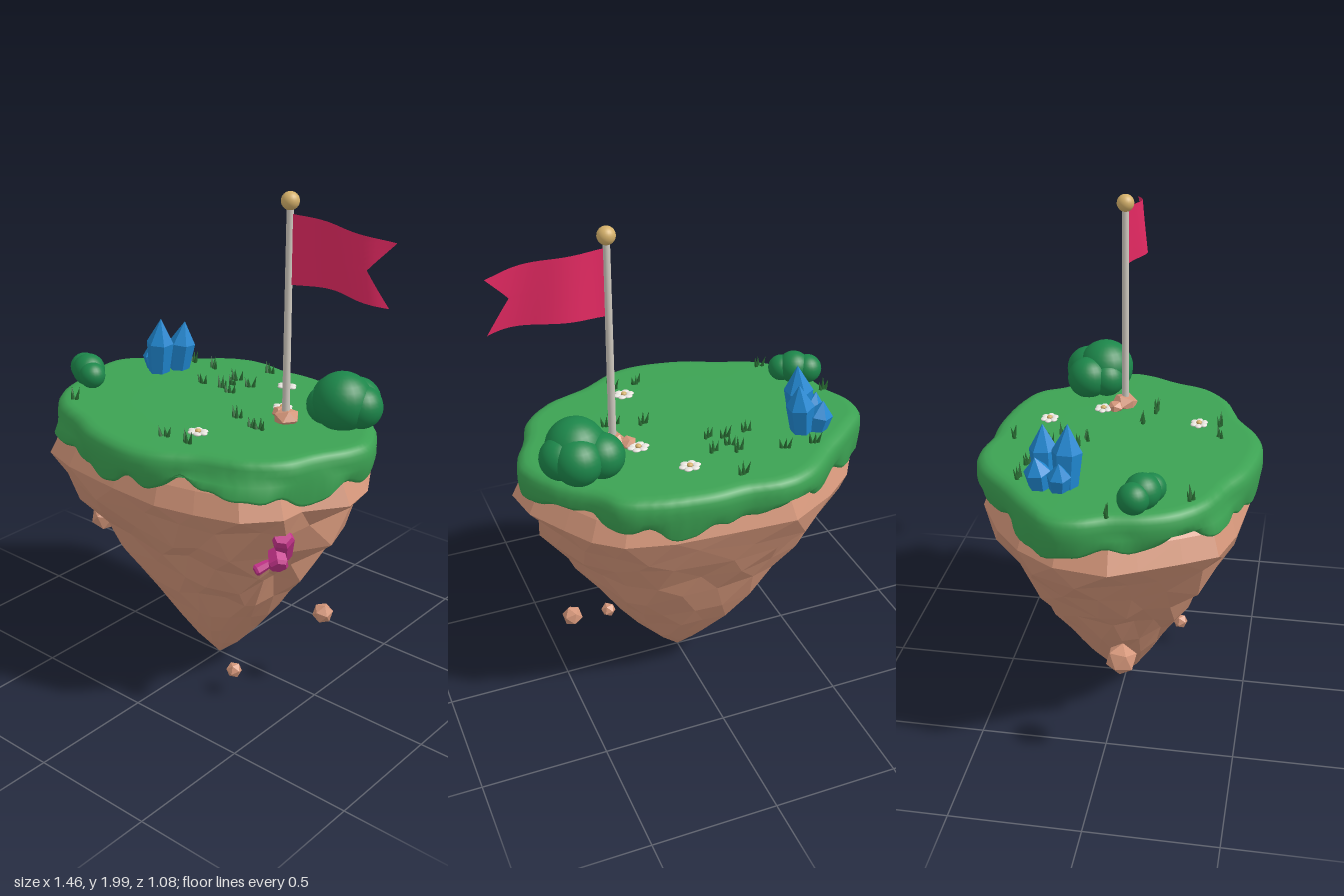
import * as THREE from 'three';

const mat = (name, color, extra = {}) => Object.assign(new THREE.MeshStandardMaterial({ color, ...extra }), { name });
const M = {
  grass: mat('grass green', 0x3ca253),
  rock: mat('clay rock', 0xd4967a),
  bush: mat('bush green', 0x1c864a),
  blade: mat('dark grass', 0x25662f),
  blue: mat('blue crystal', 0x2088d2),
  pink: mat('pink crystal', 0xc4338a),
  flag: mat('flag crimson', 0xe82a64, { side: THREE.DoubleSide }),
  pole: mat('pole grey', 0xd0cac0),
  gold: mat('gold', 0xd4b06a),
  white: mat('petal white', 0xeeeae4),
};
const TOP = 1.125;
const UP = new THREE.Vector3(0, 1, 0);

let seed = 11;
const rnd = () => ((seed = (seed * 16807) % 2147483647) / 2147483647) * 2 - 1;

function add(parent, name, geo, material, pos = [0, 0, 0], scale = [1, 1, 1]) {
  const m = new THREE.Mesh(geo, material);
  m.name = name;
  m.position.set(...pos);
  m.scale.set(...scale);
  parent.add(m);
  return m;
}

function faceted(geo) {
  const g = geo.index ? geo.toNonIndexed() : geo;
  g.computeVertexNormals();
  return g;
}

// Skin over closed rings listed from top to bottom, diagonals alternating per row
function skin(rings) {
  const n = rings[0].length, idx = [];
  for (let i = 0; i < rings.length - 1; i++)
    for (let j = 0; j < n; j++) {
      const a = i * n + j, b = i * n + ((j + 1) % n), c = a + n, d = b + n;
      idx.push(...(i % 2 ? [a, b, d, a, d, c] : [a, b, c, b, d, c]));
    }
  const g = new THREE.BufferGeometry();
  g.setAttribute('position', new THREE.Float32BufferAttribute(rings.flat(2), 3));
  g.setIndex(idx);
  g.computeVertexNormals();
  return g;
}

// Radius of a closed outline as a function of the angle
function polar(pts) {
  const curve = new THREE.CatmullRomCurve3(pts.map(([x, z]) => new THREE.Vector3(x, 0, z)), true);
  const s = curve.getPoints(500).map(p => [Math.atan2(p.z, p.x), Math.hypot(p.x, p.z)]);
  return a => {
    const d = t => Math.abs(Math.atan2(Math.sin(t[0] - a), Math.cos(t[0] - a)));
    return s.reduce((best, t) => (d(t) < d(best) ? t : best))[1];
  };
}

const grassLine = [
  [0.65, 0], [0.585, 0.14], [0.54, 0.26], [0.42, 0.365], [0.26, 0.425], [0.1, 0.515], [-0.02, 0.535],
  [-0.23, 0.5], [-0.36, 0.44], [-0.51, 0.38], [-0.61, 0.285], [-0.66, 0.18], [-0.685, 0.05], [-0.73, -0.07],
  [-0.72, -0.17], [-0.61, -0.28], [-0.485, -0.385], [-0.35, -0.5], [-0.23, -0.54], [-0.07, -0.525],
  [0.06, -0.53], [0.28, -0.495], [0.395, -0.445], [0.46, -0.35], [0.58, -0.235], [0.66, -0.08],
];
const rockLine = [
  [0.665, 0.05], [0.56, 0.2], [0.555, 0.3], [0.45, 0.42], [0.28, 0.475], [0.12, 0.51], [-0.1, 0.5],
  [-0.37, 0.47], [-0.53, 0.42], [-0.6, 0.3], [-0.68, 0.15], [-0.73, 0.05], [-0.7, -0.15], [-0.6, -0.3],
  [-0.475, -0.405], [-0.28, -0.51], [-0.05, -0.5], [0.2, -0.485], [0.38, -0.44], [0.48, -0.36], [0.55, -0.25], [0.64, -0.1],
];
const grassR = polar(grassLine), rockR = polar(rockLine);

// Faceted rock cone hanging below the turf, its belly leaning slightly back
function makeRock(g) {
  const levels = [[1.06, 0.86], [1.0, 0.94], [0.92, 1], [0.83, 0.92], [0.73, 0.83], [0.63, 0.73],
    [0.53, 0.63], [0.42, 0.525], [0.31, 0.41], [0.2, 0.28], [0.1, 0.145], [0.01, 0]];
  const rings = levels.map(([y, s], i) => {
    const free = i > 2 && i < 11 ? 1 : 0;
    const soft = Math.max(0, 0.92 - y) * 0.7;
    const back = y < 0.9 ? 0.015 * Math.sin((Math.PI * (y - 0.01)) / 0.89) : 0;
    return rockLine.map(([x, z], j) => {
      const [nx, nz] = rockLine[(j + (i % 2) * free) % rockLine.length];
      const a = Math.atan2(z + nz, x + nx) + rnd() * 0.06 * free;
      const oval = 1 / Math.hypot(Math.cos(a) / 0.7, Math.sin(a) / 0.53);
      const r = s * (rockR(a) * (1 - soft) + oval * soft) * (1 + (0.008 + rnd() * 0.028) * free);
      return [r * Math.cos(a), y + rnd() * 0.03 * free * Math.min(1, y * 2), r * Math.sin(a) - back];
    });
  });
  add(g, 'rockBody', faceted(skin(rings)), M.rock);
}

// Smooth turf slab with a rounded rim and a dripping lower edge
function makeTurf(g) {
  const n = 180;
  const cols = Array.from({ length: n }, (_, j) => {
    const a = (j / n) * Math.PI * 2, r = grassR(a), b = a - 0.31;
    const low = 0.988 - 0.028 * Math.cos(4 * b) - 0.016 * Math.cos(12 * b) + 0.01 * Math.sin(17 * a) + 0.005 * Math.sin(29 * a);
    const under = rockR(a) * Math.min(0.99, 0.94 + (1 - low) * 0.75) + 0.01;
    const edge = Math.max(r - 0.012, under);
    const prof = [[0, TOP], [r * 0.5, TOP], [r - 0.06, TOP], [r - 0.035, TOP - 0.002], [r - 0.015, TOP - 0.012],
      [r - 0.003, TOP - 0.03], [r, TOP - 0.055], [(Math.max(r, edge) + r) / 2, 1.04],
      [edge + 0.004, low + 0.015], [edge - 0.008, low], [edge - 0.03, low + 0.008], [edge - 0.12, 1.03]];
    return prof.map(([q, y]) => [q * Math.cos(a), y, q * Math.sin(a)]);
  });
  add(g, 'turf', skin(cols[0].map((_, i) => cols.map(c => c[i]))), M.grass);
}

function makeBush(g, name, blobs) {
  const b = new THREE.Group();
  b.name = name;
  for (const [x, y, z, r] of blobs) add(b, 'leafBall', new THREE.SphereGeometry(r, 24, 16), M.bush, [x, y, z]);
  g.add(b);
}

// Flagpole with finial, swallowtail flag and stones at the foot
function makeFlag(g) {
  const x = 0.285, z = -0.052;
  add(g, 'pole', new THREE.CylinderGeometry(0.013, 0.015, 0.84, 16), M.pole, [x, 1.53, z]);
  add(g, 'finial', new THREE.SphereGeometry(0.034, 24, 16), M.gold, [x, 1.966, z]);
  const cloth = new THREE.PlaneGeometry(1, 1, 28, 12), p = cloth.attributes.position;
  for (let i = 0; i < p.count; i++) {
    const u = p.getX(i) + 0.5, v = p.getY(i) + 0.5;
    const notch = 0.09 * (1 - Math.abs(v - 0.5) * 2) * u;
    const t = u - notch / 0.43;
    const yTop = 1.92 - 0.012 * t - 0.028 * t * t, yLow = 1.66 + 0.012 * Math.sin(t * Math.PI) - 0.004 * t;
    const wave = -(0.024 + 0.014 * (1 - v)) * Math.sin(t * 7.2 - (1 - v) * 1.2 * t) * Math.sqrt(t);
    p.setXYZ(i, 0.298 + 0.43 * t, yLow + (yTop - yLow) * v, z + wave);
  }
  cloth.computeVertexNormals();
  add(g, 'flag', cloth, M.flag);
  for (const [sx, sz, r] of [[0.285, -0.055, 0.055], [0.235, -0.085, 0.036]])
    add(g, 'footStone', new THREE.IcosahedronGeometry(r), M.rock, [sx, TOP + 0.01, sz], [1, 0.75, 1]).rotation.y = sx * 20;
}

// Six-sided crystal from a base point along a direction; tip is the pointed share of its length
function crystal(g, name, material, base, dir, r, h, tip) {
  const prof = [[0, 0], [r * 0.75, 0], [r, h * (1 - tip)], [tip > 0.2 ? 0 : r * 0.75, h], [0, h]];
  const geo = faceted(new THREE.LatheGeometry(prof.map(q => new THREE.Vector2(...q)), 6));
  add(g, name, geo, material, base).quaternion.setFromUnitVectors(UP, new THREE.Vector3(...dir).normalize());
}

function makeFlower(g, x, z) {
  const f = new THREE.Group();
  f.name = 'flower';
  f.position.set(x, TOP + 0.012, z);
  add(f, 'stem', new THREE.CylinderGeometry(0.004, 0.004, 0.02, 6), M.blade, [0, -0.006, 0]);
  for (let i = 0; i < 6; i++) {
    const a = (i * Math.PI) / 3;
    add(f, 'petal', new THREE.SphereGeometry(0.016, 12, 8), M.white, [Math.cos(a) * 0.027, 0, Math.sin(a) * 0.023], [1.05, 0.4, 0.85]);
  }
  add(f, 'flowerCentre', new THREE.SphereGeometry(0.012, 12, 8), M.gold, [0, 0.004, 0], [1, 0.7, 1]);
  g.add(f);
}

// Three leaning blades
function makeTuft(g, x, z) {
  const t = new THREE.Group();
  t.name = 'grassTuft';
  t.position.set(x, TOP - 0.004, z);
  for (let i = -1; i <= 1; i++) {
    const h = 0.05 + rnd() * 0.01;
    const geo = new THREE.ConeGeometry(0.009, h, 5).translate(0, h / 2, 0);
    add(t, 'blade', geo, M.blade, [i * 0.012, 0, rnd() * 0.008]).rotation.set(rnd() * 0.25, 0, -i * 0.22);
  }
  g.add(t);
}

export function createModel() {
  const g = new THREE.Group();
  g.name = 'floatingIsland';
  makeRock(g);
  makeTurf(g);
  makeFlag(g);

  makeBush(g, 'largeBush', [[0.465, 1.215, -0.165, 0.115], [0.48, 1.2, -0.24, 0.092], [0.385, 1.195, -0.225, 0.086],
    [0.53, 1.2, -0.195, 0.083], [0.4, 1.19, -0.15, 0.075]]);
  makeBush(g, 'smallBush', [[-0.575, 1.185, 0.15, 0.066], [-0.625, 1.18, 0.125, 0.058], [-0.53, 1.178, 0.175, 0.053]]);

  // Blue crystal cluster on the turf
  for (const [x, z, dx, dz, r, h] of [[-0.46, -0.145, 0.08, 0.02, 0.057, 0.25], [-0.425, -0.23, 0.12, -0.05, 0.055, 0.225],
    [-0.485, -0.235, -0.12, -0.1, 0.05, 0.14], [-0.495, -0.165, -0.18, 0.05, 0.045, 0.13]])
    crystal(g, 'blueCrystal', M.blue, [x, TOP - 0.015, z], [dx, 1, dz], r, h, 0.42);

  // Pink crystals growing from the cliff
  crystal(g, 'pinkCrystal', M.pink, [0.465, 0.705, 0.18], [0.35, 0.78, 0.5], 0.044, 0.165, 0.12);
  crystal(g, 'pinkCrystal', M.pink, [0.455, 0.77, 0.22], [0.5, -0.4, 0.45], 0.04, 0.11, 0.12);
  crystal(g, 'pinkCrystal', M.pink, [0.46, 0.7, 0.24], [-0.3, -0.25, 0.6], 0.022, 0.075, 0.12);

  // Loose stones drifting around the cone
  for (const [x, y, z, r] of [[-0.59, 0.485, 0.077, 0.061], [0.483, 0.355, -0.06, 0.042], [0.246, 0.12, 0.2, 0.032]])
    add(g, 'driftingStone', new THREE.IcosahedronGeometry(r), M.rock, [x, y, z]).rotation.set(x * 3, y * 5, 0.3);

  for (const [x, z] of [[0.08, -0.325], [0.21, -0.13], [0.125, 0.27]]) makeFlower(g, x, z);
  for (const [x, z] of [[-0.09, -0.43], [-0.43, -0.33], [-0.31, -0.325], [-0.14, -0.275], [-0.05, -0.25], [-0.125, -0.225],
    [-0.225, -0.16], [-0.13, -0.165], [-0.07, -0.145], [-0.655, 0.035], [0.125, 0.045], [0.23, 0.09], [0.265, 0.082],
    [-0.495, 0.315], [0.04, 0.36], [0.145, 0.355]]) makeTuft(g, x, z);
  return g;
}
